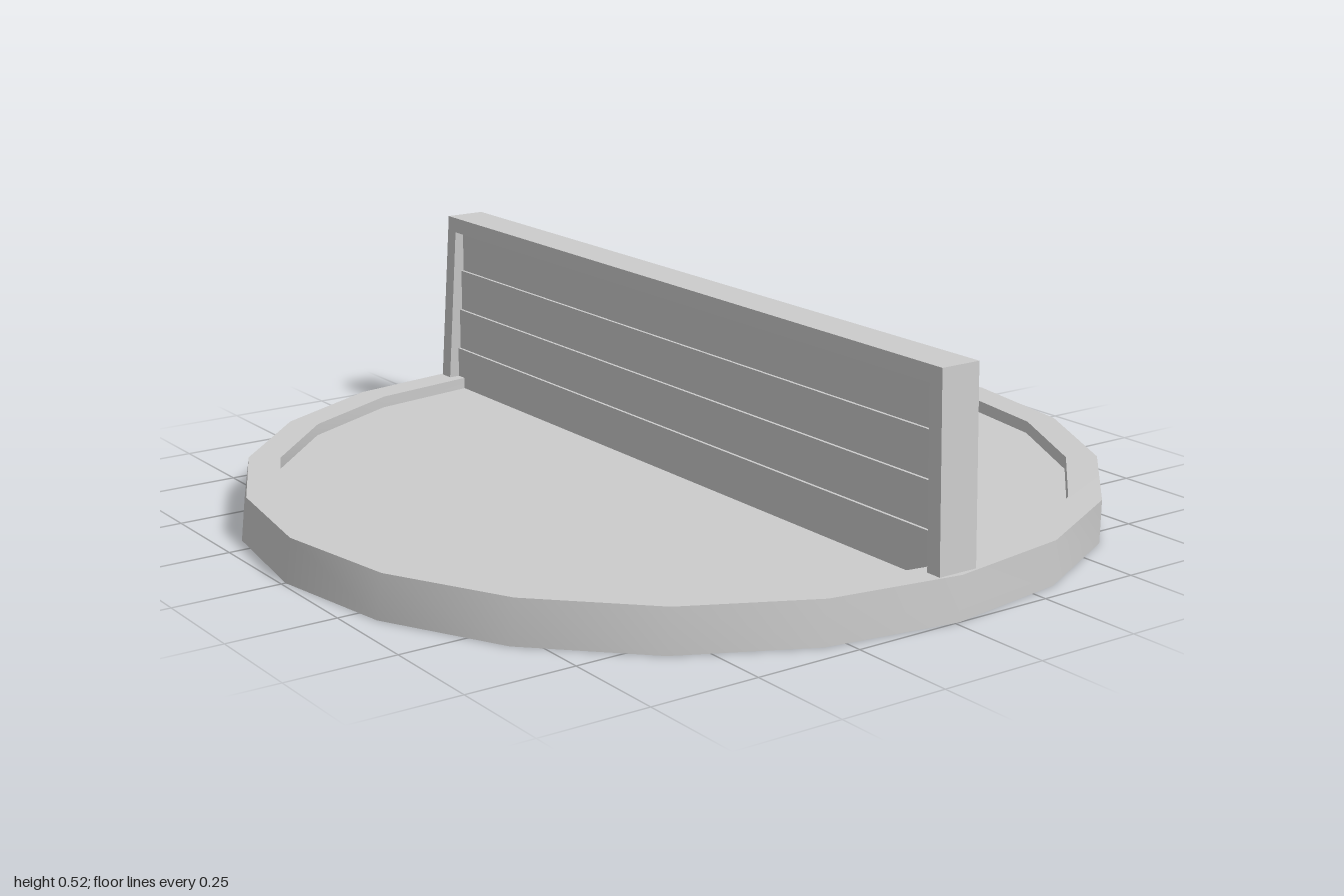
import * as THREE from 'three';
import { toCreasedNormals } from 'three/addons/utils/BufferGeometryUtils.js';

const material = new THREE.MeshStandardMaterial({ color: 0xcccccc });

// Moves every vertex by a rule, then sharpens the edges.
function warp(geometry, rule) {
  const pos = geometry.attributes.position;
  const v = new THREE.Vector3();
  for (let i = 0; i < pos.count; i++) {
    rule(v.fromBufferAttribute(pos, i));
    pos.setXYZ(i, v.x, v.y, v.z);
  }
  return toCreasedNormals(geometry, 0.5);
}

// Disc: slight lean, with the +x edge bent upwards.
function bendDisc(v) {
  v.x += 0.01 + 0.1 * v.y;
  if (v.x > 0.6) {
    v.x = 0.6 + (v.x - 0.6) * 0.93;
    v.y += 0.053 * (v.x - 0.6);
  }
}

// Wall: leans towards +x and narrows towards the top.
function leanWall(v) {
  v.x += 0.02 + 0.033 * (v.y - 0.1);
  v.z *= 1 + 0.065 * (0.525 - v.y);
}

export function createModel() {
  const group = new THREE.Group();
  const add = (name, geometry, rule) => {
    const mesh = new THREE.Mesh(warp(geometry, rule), material);
    mesh.name = name;
    group.add(mesh);
  };

  // Round base with a raised rim
  const profile = [[0, 0], [1, 0], [0.995, 0.098], [0.92, 0.098], [0.92, 0.07], [0, 0.07]]
    .map(([r, y]) => new THREE.Vector2(r, y));
  add('base', new THREE.LatheGeometry(profile, 20), bendDisc);

  // Wall frame: two end posts and a top rail
  const top = 0.525, bottom = 0.05, half = 0.955, bar = 0.037, thick = 0.098;
  for (const side of [1, -1]) {
    add(side > 0 ? 'frontPost' : 'backPost',
      new THREE.BoxGeometry(thick, top - bottom, bar)
        .translate(0, (top + bottom) / 2, side * (half - bar / 2)), leanWall);
  }
  add('topRail', new THREE.BoxGeometry(thick, bar, 2 * (half - bar))
    .translate(0, top - bar / 2, 0), leanWall);

  // Recessed panel with four slightly stepped boards on both faces
  const boards = 4, low = 0.07, step = (top - bar - low) / boards;
  const inner = 0.02, outer = 0.027;
  const right = [];
  for (let i = 0; i < boards; i++) {
    right.push([inner, low + i * step], [outer, low + (i + 1) * step]);
  }
  const left = right.map(([x, y]) => [-x, y]).reverse();
  const section = new THREE.Shape([...right, ...left].map(([x, y]) => new THREE.Vector2(x, y)));
  const length = 2 * (half - bar);
  add('boardPanel', new THREE.ExtrudeGeometry(section, { depth: length, bevelEnabled: false })
    .translate(0, 0, -length / 2), leanWall);

  return group;
}
